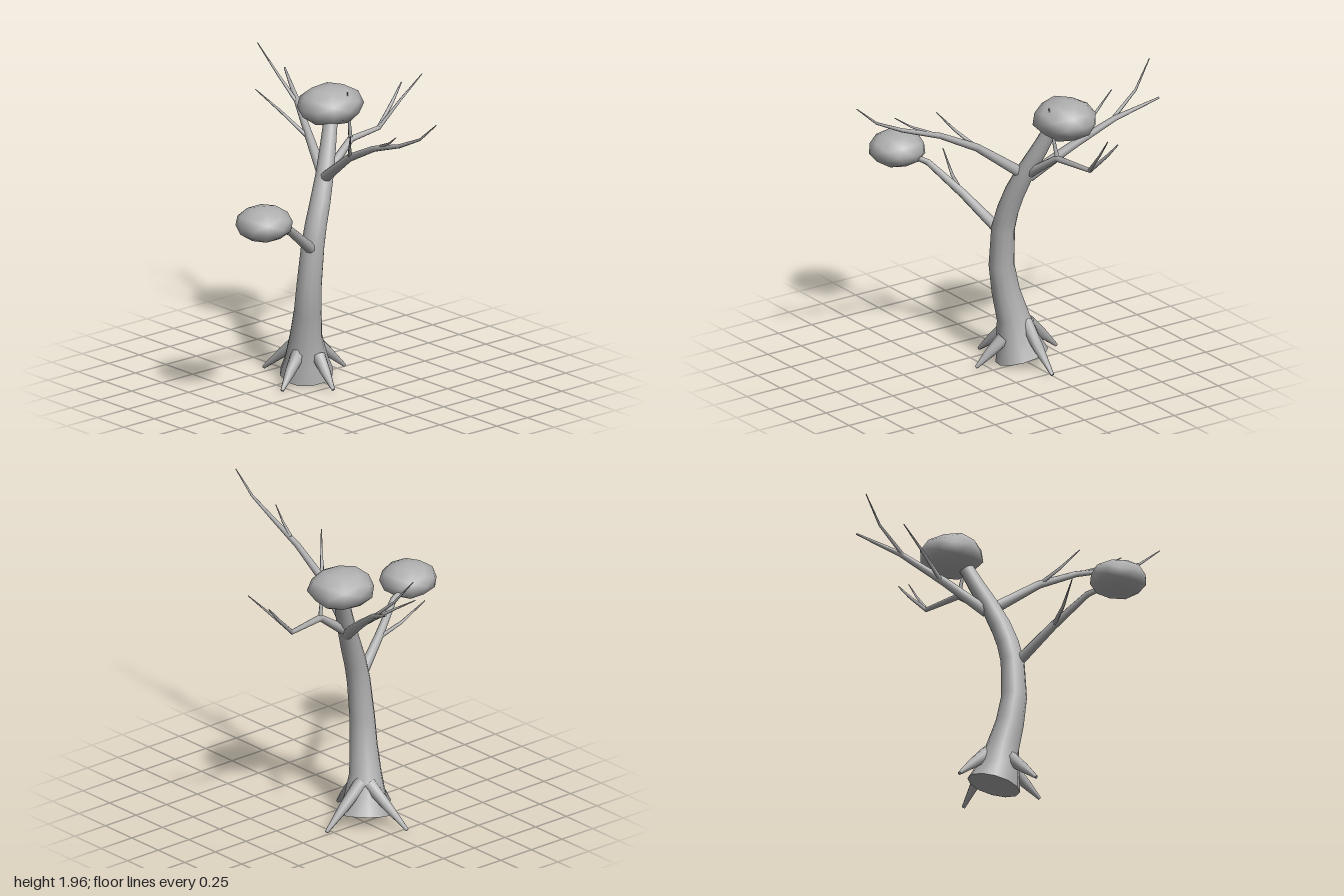
import * as THREE from 'three';
import { mergeVertices } from 'three/addons/utils/BufferGeometryUtils.js';

const bark = new THREE.MeshStandardMaterial({ color: 0xb0b0b0 });
bark.name = 'grey';

// Tapered limb: one ring per point [x, y, z, radius], closed with flat caps
function limb(name, pts, sides) {
  const p = pts.map(a => new THREE.Vector3(a[0], a[1], a[2]));
  const n = p.length, pos = [], idx = [], rings = [];
  const frame = new THREE.Quaternion();
  let last = new THREE.Vector3(0, 1, 0);
  p.forEach((c, i) => {
    const t = p[Math.min(i + 1, n - 1)].clone().sub(p[Math.max(i - 1, 0)]).normalize();
    frame.premultiply(new THREE.Quaternion().setFromUnitVectors(last, t));
    last = t;
    const ring = [];
    for (let j = 0; j < sides; j++) {
      const a = (j / sides) * Math.PI * 2;
      ring.push(new THREE.Vector3(Math.cos(a), 0, -Math.sin(a))
        .multiplyScalar(pts[i][3]).applyQuaternion(frame).add(c));
    }
    rings.push(ring);
    ring.forEach(v => pos.push(v.x, v.y, v.z));
  });
  for (let i = 0; i < n - 1; i++) {
    for (let j = 0; j < sides; j++) {
      const k = (j + 1) % sides, a = i * sides, b = a + sides;
      idx.push(a + j, a + k, b + k, a + j, b + k, b + j);
    }
  }
  // caps use their own vertices so the rims stay sharp
  [0, n - 1].forEach(i => {
    const s = pos.length / 3;
    rings[i].forEach(v => pos.push(v.x, v.y, v.z));
    for (let j = 1; j < sides - 1; j++) {
      if (i === 0) idx.push(s, s + j + 1, s + j);
      else idx.push(s, s + j, s + j + 1);
    }
  });
  const g = new THREE.BufferGeometry();
  g.setAttribute('position', new THREE.Float32BufferAttribute(pos, 3));
  g.setIndex(idx);
  g.computeVertexNormals();
  const m = new THREE.Mesh(g, bark);
  m.name = name;
  return m;
}

// Lumpy, flattened ball of leaves
function foliage(name, center, size, lump, phase) {
  let g = new THREE.IcosahedronGeometry(1, 1);
  g.deleteAttribute('normal');
  g.deleteAttribute('uv');
  g = mergeVertices(g, 1e-3);
  const a = g.attributes.position, v = new THREE.Vector3();
  for (let i = 0; i < a.count; i++) {
    v.fromBufferAttribute(a, i);
    v.multiplyScalar(1 + lump * Math.sin(v.x * 5 + phase) * Math.cos(v.z * 4 + v.y * 3 + phase));
    a.setXYZ(i, v.x * size[0], v.y * size[1], v.z * size[2]);
  }
  g.computeVertexNormals();
  const m = new THREE.Mesh(g, bark);
  m.name = name;
  m.position.set(...center);
  return m;
}

export function createModel() {
  const tree = new THREE.Group();
  tree.name = 'tree';

  // Curved trunk, flaring at the foot
  tree.add(limb('trunk', [
    [-0.02, 0.045, -0.23, 0.168], [-0.04, 0.15, -0.21, 0.135], [-0.06, 0.3, -0.19, 0.102],
    [-0.08, 0.47, -0.15, 0.088], [-0.09, 0.65, -0.125, 0.08], [-0.065, 0.9, -0.12, 0.074],
    [-0.03, 1.03, -0.13, 0.07], [0.02, 1.16, -0.148, 0.066], [0.09, 1.32, -0.185, 0.058],
    [0.16, 1.47, -0.235, 0.052], [0.215, 1.6, -0.275, 0.046], [0.25, 1.68, -0.3, 0.042],
  ], 12));

  // Four spreading roots
  const roots = new THREE.Group();
  roots.name = 'roots';
  [
    [[-0.13, 0.2, -0.18], [-0.32, 0.015, -0.115]],
    [[0.01, 0.27, -0.235], [0.3, 0.015, -0.24]],
    [[-0.035, 0.18, -0.1], [-0.07, 0.015, 0.08]],
    [[-0.02, 0.26, -0.27], [-0.1, 0.015, -0.54]],
  ].forEach(([s, e]) => {
    const mid = s.map((c, i) => c * 0.5 + e[i] * 0.5);
    roots.add(limb('root', [[...s, 0.046], [...mid, 0.033], [...e, 0.011]], 8));
  });
  tree.add(roots);

  // Branches with their twigs
  const branches = new THREE.Group();
  branches.name = 'branches';
  const branch = (...pts) => branches.add(limb('branch', pts, 8));
  const twig = (...pts) => branches.add(limb('twig', pts, 6));

  // right side, carrying the small foliage
  branch([-0.09, 0.89, -0.1, 0.036], [-0.33, 1.07, 0.0, 0.028],
    [-0.55, 1.23, 0.11, 0.02], [-0.68, 1.25, 0.16, 0.015]);
  twig([-0.33, 1.065, 0.0, 0.014], [-0.49, 1.135, -0.03, 0.01], [-0.65, 1.25, -0.07, 0.003]);

  // front
  branch([0.07, 1.3, -0.17, 0.036], [0.015, 1.52, 0.13, 0.025], [-0.01, 1.65, 0.39, 0.019],
    [-0.035, 1.74, 0.66, 0.013], [-0.033, 1.83, 0.85, 0.008], [-0.03, 1.96, 1.0, 0.003]);
  twig([0.01, 1.53, 0.14, 0.013], [-0.07, 1.63, 0.235, 0.009], [-0.145, 1.745, 0.325, 0.003]);
  twig([-0.015, 1.685, 0.46, 0.011], [-0.05, 1.74, 0.58, 0.007], [-0.08, 1.81, 0.68, 0.003]);

  // back
  branch([0.1, 1.28, -0.2, 0.036], [0.2, 1.46, -0.45, 0.027], [0.31, 1.625, -0.7, 0.018],
    [0.43, 1.745, -0.95, 0.006]);
  twig([0.3, 1.61, -0.68, 0.013], [0.29, 1.77, -0.87, 0.008], [0.25, 1.935, -1.0, 0.003]);
  twig([0.2, 1.47, -0.48, 0.014], [0.14, 1.6, -0.66, 0.009], [0.085, 1.71, -0.83, 0.003]);

  // left
  branch([0.1, 1.3, -0.19, 0.034], [0.35, 1.475, -0.24, 0.022], [0.63, 1.475, -0.295, 0.015],
    [0.77, 1.61, -0.325, 0.01], [0.86, 1.71, -0.345, 0.004]);
  twig([0.63, 1.478, -0.29, 0.012], [0.78, 1.63, -0.265, 0.008], [0.925, 1.78, -0.225, 0.003]);
  twig([0.35, 1.48, -0.24, 0.014], [0.325, 1.62, -0.225, 0.009], [0.3, 1.8, -0.213, 0.003]);
  tree.add(branches);

  // Foliage clumps
  tree.add(foliage('topFoliage', [0.275, 1.69, -0.35], [0.21, 0.127, 0.195], 0.06, 0.6));
  tree.add(foliage('sideFoliage', [-0.75, 1.28, 0.205], [0.183, 0.112, 0.18], 0.03, 2));
  return tree;
}
